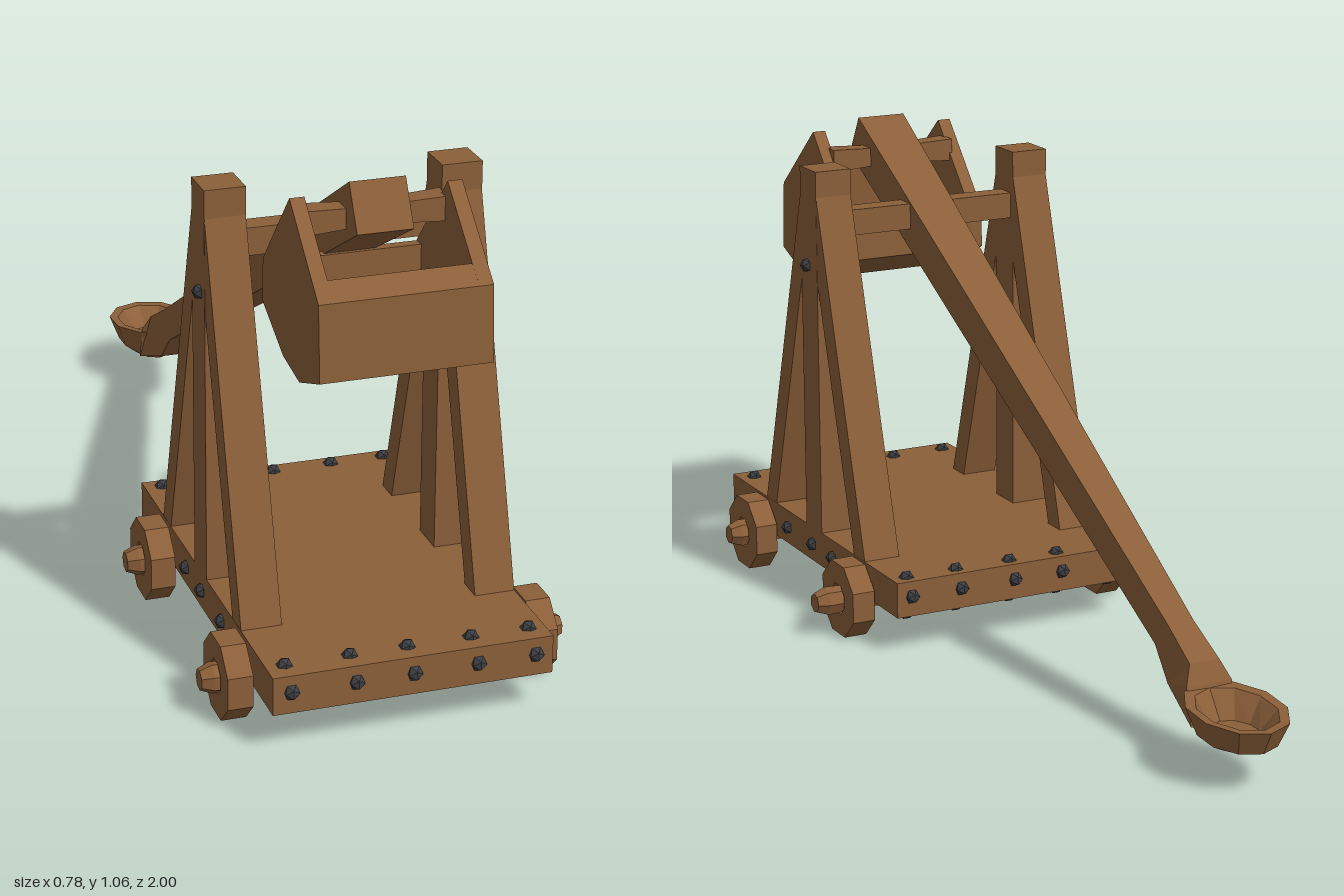
import * as THREE from 'three';

const wood = new THREE.MeshStandardMaterial({ color: 0x8b5f39, flatShading: true });
wood.name = 'wood brown';
const iron = new THREE.MeshStandardMaterial({ color: 0x3b3e42, flatShading: true });
iron.name = 'dark iron';

export function createModel() {
  const model = new THREE.Group();
  model.name = 'catapult';
  const body = new THREE.Group();
  body.name = 'catapultBody';
  body.position.x = -0.0125;
  model.add(body);

  const add = (name, geometry, x = 0, y = 0, z = 0, material = wood) => {
    const mesh = new THREE.Mesh(geometry, material);
    mesh.name = name;
    mesh.position.set(x, y, z);
    body.add(mesh);
    return mesh;
  };
  const box = (name, w, h, d, x, y, z) => add(name, new THREE.BoxGeometry(w, h, d), x, y, z);

  // Extrudes a side outline of [z, y] points from x0 to x1
  const slab = (name, points, x0, x1, hole) => {
    const shape = new THREE.Shape(points.map(([z, y]) => new THREE.Vector2(z, y)));
    if (hole) shape.holes.push(new THREE.Path(hole.map(([z, y]) => new THREE.Vector2(z, y))));
    const g = new THREE.ExtrudeGeometry(shape, { depth: x1 - x0, bevelEnabled: false });
    g.rotateY(-Math.PI / 2).translate(x1, 0, 0);
    return add(name, g);
  };

  // Skins a row of equal-sized loops of [x, y, z] and caps both ends
  const loft = (name, loops) => {
    const n = loops[0].length, index = [];
    for (let r = 0; r < loops.length - 1; r++) {
      for (let i = 0; i < n; i++) {
        const a = r * n + i, b = r * n + (i + 1) % n;
        index.push(a, a + n, b + n, a, b + n, b);
      }
    }
    const last = (loops.length - 1) * n;
    for (let i = 1; i < n - 1; i++) {
      index.push(0, i, i + 1, last, last + i + 1, last + i);
    }
    const g = new THREE.BufferGeometry();
    g.setAttribute('position', new THREE.Float32BufferAttribute(loops.flat(2), 3));
    g.setIndex(index);
    const flat = g.toNonIndexed();
    flat.computeVertexNormals();
    return add(name, flat);
  };

  const polygon = (n, r, z, y) => Array.from({ length: n }, (_, i) => {
    const a = (i + 0.5) / n * Math.PI * 2;
    return [z + r * Math.cos(a), y + r * Math.sin(a)];
  });

  // Platform
  box('platform', 0.575, 0.08, 0.92, 0, 0.13, 0.53);

  // Bolts around the platform and on the posts
  const boltGeometry = new THREE.IcosahedronGeometry(0.017, 0);
  const bolt = (x, y, z) => add('bolt', boltGeometry, x, y, z, iron);
  for (const x of [-0.25, -0.118, 0, 0.132, 0.252]) {
    for (const z of [0.07, 0.99]) bolt(x, 0.135, z);
    for (const z of [0.1, 0.945]) {
      bolt(x, 0.17, z);
      bolt(x, 0.09, z);
    }
  }

  for (const s of [-1, 1]) {
    for (const z of [0.41, 0.52, 0.66]) bolt(s * 0.288, 0.13, z);
    bolt(s * 0.288, 0.785, 0.522);

    // Upright post with two slanted braces
    box('post', 0.085, 0.84, 0.085, s * 0.245, 0.585, 0.512);
    for (const d of [-1, 1]) {
      const brace = [[0.275, 0.165], [0.04, 0.955], [0.01, 0.86], [0.218, 0.165]]
        .map(([z, y]) => [0.512 + d * z, y]);
      slab('brace', brace, s * 0.245 - 0.042, s * 0.245 + 0.042);
    }

    // Octagonal wheels with a bored hub
    for (const z of [0.26, 0.8]) {
      slab('wheel', polygon(8, 0.088, z, 0.087), s * 0.318 - 0.026, s * 0.318 + 0.026,
        polygon(8, 0.036, z, 0.087));
    }
  }

  // Rough-hewn wheel axles, slightly swollen at the ends
  for (const [z, x0, x1] of [[0.26, -0.378, 0.4], [0.8, -0.378, 0.38]]) {
    const ring = (x, r) => polygon(7, r, z, 0.085).map(([pz, py]) => [x, py, pz]);
    loft('wheelAxle', [ring(x0, 0.022), ring(x0 + 0.025, 0.032), ring(-0.29, 0.029),
      ring(0, 0.032), ring(0.29, 0.029), ring(x1 - 0.025, 0.032), ring(x1, 0.022)]);
  }

  // Pivot bar between the posts
  box('pivotBar', 0.42, 0.058, 0.05, 0, 0.88, 0.505);

  // Throwing arm tapering to the spoon neck: [half width, top z, top y, bottom z, bottom y]
  const armSections = [
    [0.057, 0.74, 1.062, 0.79, 0.972],
    [0.03, -0.65, 0.262, -0.6, 0.205],
    [0.034, -0.745, 0.21, -0.66, 0.14],
    [0.052, -0.765, 0.17, -0.785, 0.092],
  ];
  loft('throwingArm', armSections.map(([w, tz, ty, bz, by]) =>
    [[-w, by, bz], [w, by, bz], [w, ty, tz], [-w, ty, tz]]));

  // Hollow spoon: [centre z, x radius, z radius, height, rise towards the arm]
  const bowlSections = [
    [-0.86, 0.045, 0.065, 0.078, 0],
    [-0.872, 0.076, 0.1, 0.098, 0.005],
    [-0.87, 0.098, 0.13, 0.155, 0.01],
    [-0.872, 0.078, 0.105, 0.153, 0.008],
    [-0.87, 0.045, 0.062, 0.105, 0],
  ];
  loft('spoonBowl', bowlSections.map(([cz, rx, rz, y, rise]) =>
    Array.from({ length: 10 }, (_, i) => {
      const a = (i + 0.5) / 10 * Math.PI * 2;
      return [rx * Math.cos(a), y + rise * Math.sin(a), cz + rz * Math.sin(a)];
    })));

  // Counterweight bucket: peaked side plates and a curved trough wall
  const outer = [[0.91, 0.89], [0.92, 0.735], [0.8, 0.69], [0.7, 0.705], [0.57, 0.77], [0.572, 0.86]];
  const inner = [[0.6, 0.862], [0.6, 0.79], [0.71, 0.74], [0.8, 0.725], [0.885, 0.755], [0.872, 0.922]];
  for (const s of [-1, 1]) {
    slab('bucketSide', [[0.735, 1.04], ...outer], s * 0.159 - 0.015, s * 0.159 + 0.015);
  }
  slab('bucketTrough', [...outer, ...inner], -0.145, 0.145);

  // Hanger bar through the arm, thinner in the middle
  const hanger = (x, r) => polygon(4, r, 0.7, 0.98).map(([z, y]) => [x, y, z]);
  loft('hangerBar', [hanger(-0.15, 0.036), hanger(0, 0.026), hanger(0.15, 0.036)]);

  return model;
}
